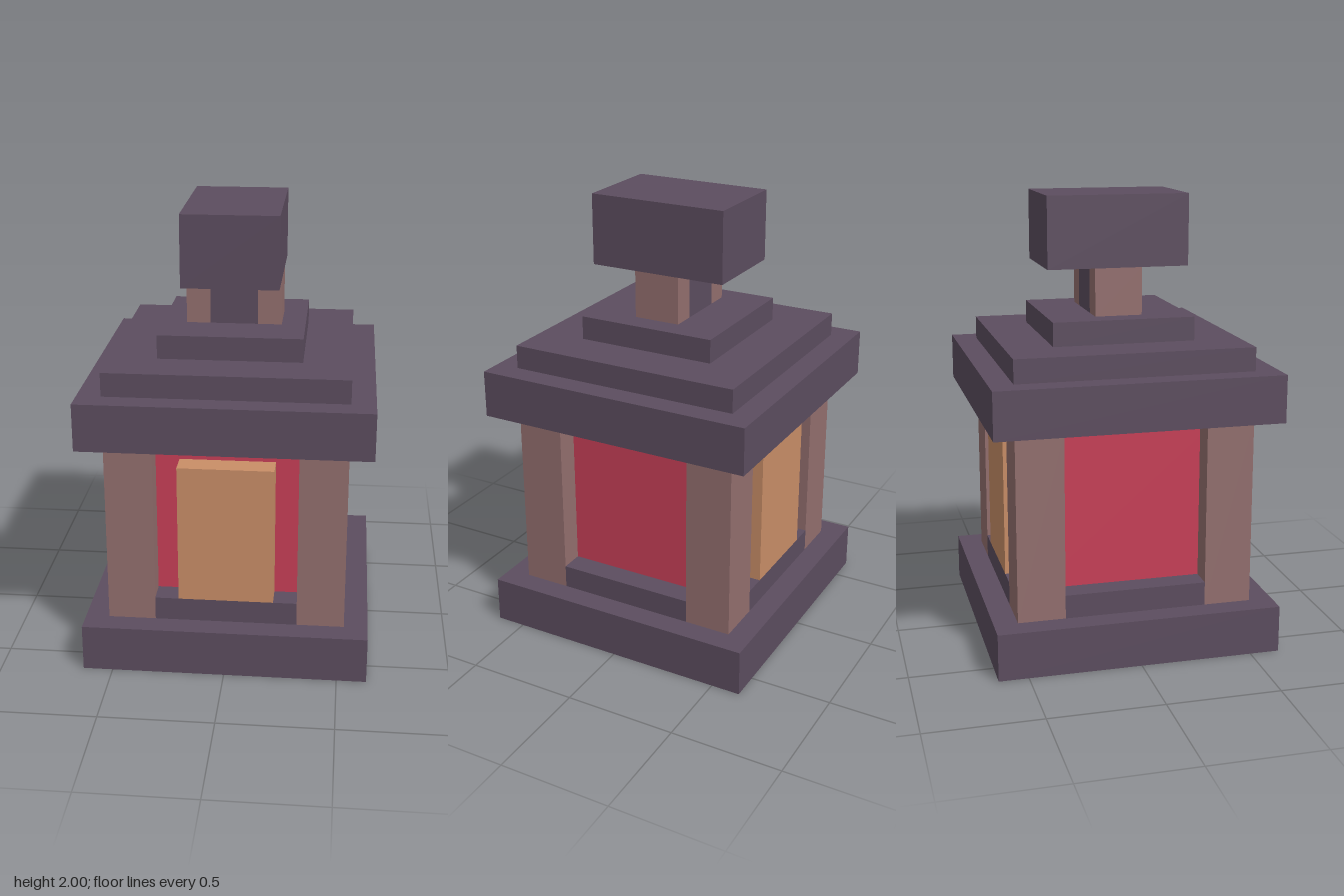
import * as THREE from 'three';

// The whole lantern sits on a block grid, 19 blocks tall
const U = 2 / 19;

export function createModel() {
  const model = new THREE.Group();
  model.name = 'stoneLantern';

  const material = (name, color) => {
    const m = new THREE.MeshStandardMaterial({ color });
    m.name = name;
    return m;
  };
  const stone = material('dark stone', 0x5c4d5f);
  const wood = material('dusty wood', 0x936f6e);
  const red = material('red panel', 0xc83f57);
  const amber = material('amber glow', 0xc98e67);

  // Box from min and max corners, in blocks
  const block = (name, mat, [x0, y0, z0], [x1, y1, z1]) => {
    const mesh = new THREE.Mesh(
      new THREE.BoxGeometry((x1 - x0) * U, (y1 - y0) * U, (z1 - z0) * U), mat);
    mesh.position.set((x0 + x1) / 2 * U, (y0 + y1) / 2 * U, (z0 + z1) / 2 * U);
    mesh.name = name;
    model.add(mesh);
  };
  // Box centred on the vertical axis, from half sizes
  const slab = (name, mat, hx, hz, y0, y1) =>
    block(name, mat, [-hx, y0, -hz], [hx, y1, hz]);

  // Base and sill, the sill running between the corner posts
  slab('base', stone, 6, 6, 0, 2);
  slab('sill', stone, 3, 5, 2, 3);
  for (const s of [-4, 4]) block('sideSill', stone, [s - 1, 2, -3], [s + 1, 3, 3]);

  // Lamp chamber with glowing windows at front and back
  slab('chamber', red, 4, 4, 3, 10);
  for (const s of [-4.5, 4.5]) block('window', amber, [-2, 3, s - 0.5], [2, 9, s + 0.5]);

  // Corner posts
  for (const x of [-4, 4])
    for (const z of [-4, 4])
      block('cornerPost', wood, [x - 1, 2, z - 1], [x + 1, 10, z + 1]);

  // Stepped roof
  slab('eaves', stone, 6, 6, 10, 12);
  slab('roofStep', stone, 5, 5, 12, 13);
  slab('roofTop', stone, 3, 3, 13, 14);

  // Neck and finial
  slab('neck', stone, 1, 1, 14, 16);
  for (const x of [-1.5, 1.5]) block('neckSide', wood, [x - 0.5, 14, -1], [x + 0.5, 16, 1]);
  slab('finial', stone, 2, 3, 16, 19);

  return model;
}
